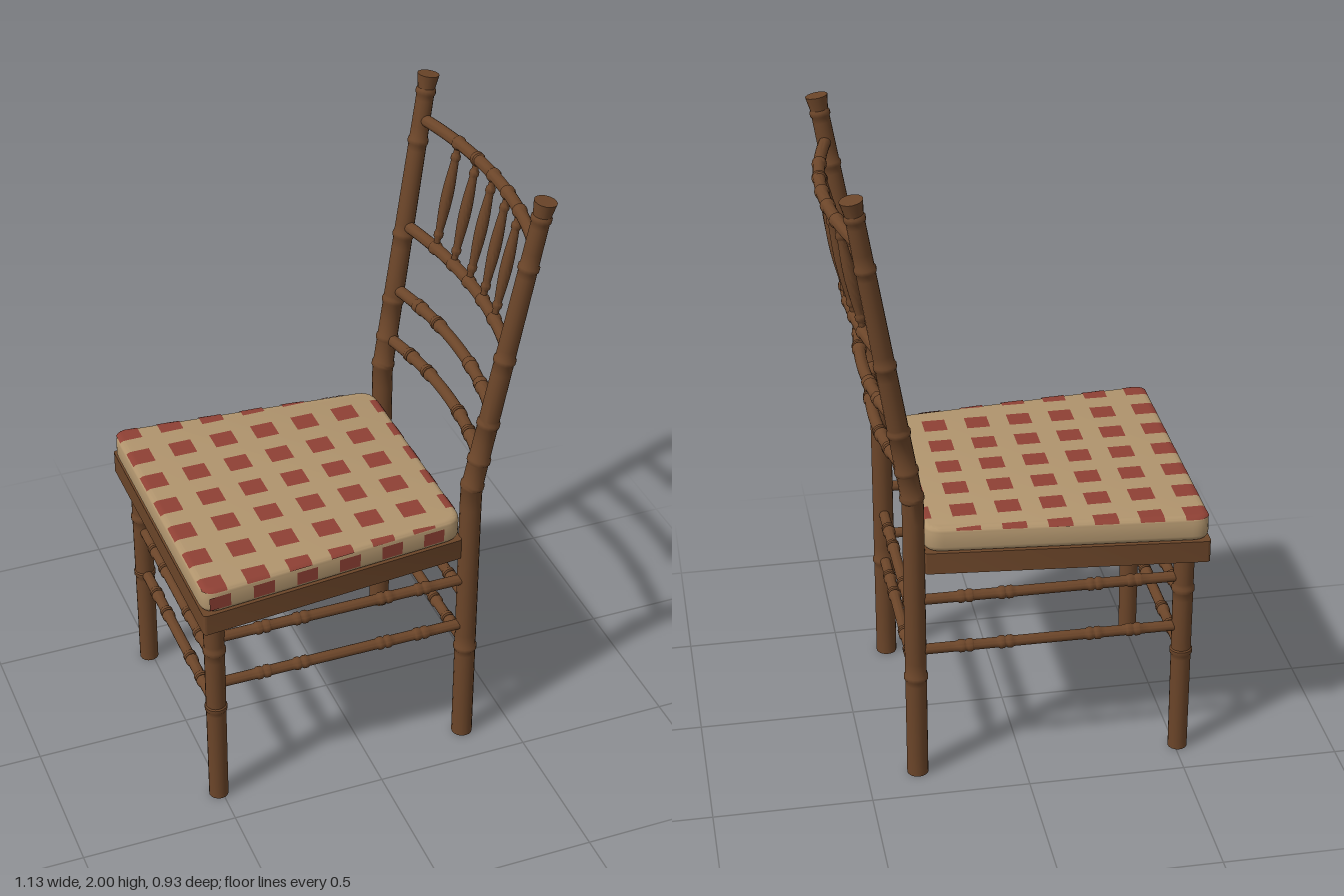
import * as THREE from 'three';
import { toCreasedNormals } from 'three/addons/utils/BufferGeometryUtils.js';

const V = (x, y, z) => new THREE.Vector3(x, y, z);
const FRONT = -0.57, BACK = 0.308, TOP = 0.89, BEVEL = 0.02;

// half width of the tapered seat at a given x
const halfWidth = (x) => {
  const t = (x - FRONT) / (BACK - FRONT);
  return 0.464 - 0.062 * t - 0.016 * t * t;
};

// turned rod: a lathe profile swept along path(t), t in 0..1
function turnedRod(path, radius, rings = [], length = 1) {
  const w = 0.012 / length;
  const ts = [];
  for (let i = 0; i <= 24; i++) ts.push(i / 24);
  for (const r of rings) ts.push(r - w, r - w * 0.5, r + w * 0.5, r + w);
  ts.sort((a, b) => a - b);
  const bump = (t) => (rings.some((r) => Math.abs(t - r) < w * 0.75) ? 0.004 : 0);
  const profile = ts.map((t) => new THREE.Vector2(radius(t) + bump(t), t));
  profile.unshift(new THREE.Vector2(0, 0));
  profile.push(new THREE.Vector2(0, 1));
  const geo = new THREE.LatheGeometry(profile, 16);
  const pos = geo.attributes.position;
  const span = path(1).sub(path(0)).normalize();
  const ref = Math.abs(span.y) > 0.7 ? V(0, 0, 1) : V(0, 1, 0);
  for (let i = 0; i < pos.count; i++) {
    const t = pos.getY(i);
    const tangent = path(Math.min(1, t + 0.01)).sub(path(Math.max(0, t - 0.01))).normalize();
    const u = tangent.clone().cross(ref).normalize();
    const v = u.clone().cross(tangent);
    const p = path(t).addScaledVector(u, pos.getX(i)).addScaledVector(v, pos.getZ(i));
    pos.setXYZ(i, p.x, p.y, p.z);
  }
  return toCreasedNormals(geo, 0.7);
}

// tapered seat outline with rounded corners, extruded downwards from top
function seatSlab(top, height, corner, bevel) {
  const pts = [[FRONT, -0.464], [BACK, -0.386], [BACK, 0.386], [FRONT, 0.464]]
    .map(([x, z]) => new THREE.Vector2(x, z));
  const shape = new THREE.Shape();
  pts.forEach((p, i) => {
    const prev = pts[(i + 3) % 4], next = pts[(i + 1) % 4];
    const a = p.clone().add(prev.clone().sub(p).setLength(corner));
    const b = p.clone().add(next.clone().sub(p).setLength(corner));
    if (i === 0) shape.moveTo(a.x, a.y); else shape.lineTo(a.x, a.y);
    shape.quadraticCurveTo(p.x, p.y, b.x, b.y);
  });
  shape.closePath();
  const geo = new THREE.ExtrudeGeometry(shape, {
    depth: height - 2 * bevel, bevelEnabled: bevel > 0, bevelThickness: bevel,
    bevelSize: bevel, bevelOffset: -bevel, bevelSegments: 5, curveSegments: 8,
  });
  geo.rotateX(Math.PI / 2).translate(0, top - bevel, 0);
  return toCreasedNormals(geo, 0.6);
}

export function createModel() {
  const model = new THREE.Group();
  const material = (name, color) => {
    const m = new THREE.MeshStandardMaterial({ color });
    m.name = name;
    return m;
  };
  const wood = material('brown wood', 0x6b4529);
  const fabric = material('tan fabric', 0xb0946d);
  const red = material('red check', 0x8e4034);
  red.side = THREE.DoubleSide;
  const add = (name, geo, mat = wood) => {
    const mesh = new THREE.Mesh(geo, mat);
    mesh.name = name;
    model.add(mesh);
    return mesh;
  };
  const line = (a, b) => (t) => a.clone().lerp(b, t);

  // back posts: upright to the seat, then leaning back and outwards
  const postAt = (y) => {
    const k = Math.max(0, y - 0.98) / 1.02;
    return V(0.338 + 0.168 * k, y, 0.366 + 0.066 * k);
  };
  const postRadius = (t) => {
    if (t > 0.978) return 0.035;
    return t < 0.5 ? 0.034 : 0.034 - 0.006 * (t - 0.5) / 0.48;
  };
  // front legs
  for (const s of [1, -1]) {
    add('backPost', turnedRod((t) => {
      const p = postAt(t * 1.995);
      p.z *= s;
      return p;
    }, postRadius, [0.18, 0.5, 0.548, 0.615, 0.73, 0.89, 0.972], 2));
    add('frontLeg', turnedRod(line(V(-0.51, 0, 0.368 * s), V(-0.51, 0.74, 0.368 * s)),
      (t) => 0.031 + 0.002 * t, [0.49, 0.8], 0.74));
  }

  // stretchers with paired rings
  const rodRings = [0.17, 0.2, 0.32, 0.35, 0.65, 0.68, 0.8, 0.83];
  for (const s of [1, -1])
    for (const y of [0.635, 0.455])
      add('sideStretcher', turnedRod(line(V(-0.51, y, 0.368 * s), V(0.338, y, 0.368 * s)),
        () => 0.017, rodRings, 0.85));
  for (const x of [-0.51, 0.338])
    for (const y of [0.545, 0.365])
      add('crossStretcher', turnedRod(line(V(x, y, -0.366), V(x, y, 0.366)),
        () => 0.017, rodRings, 0.73));

  // bowed back rails
  const bow = { 1.85: 0.06, 1.49: 0.05, 1.268: 0.05, 1.093: 0.048 };
  const railAt = (y, z) => {
    const p = postAt(y);
    return V(p.x + bow[y] * (1 - (z / p.z) ** 2), y, z);
  };
  const spindleZ = [-0.226, -0.113, 0, 0.113, 0.226];
  for (const y of [1.85, 1.49, 1.268, 1.093]) {
    const half = postAt(y).z;
    const rings = y > 1.4 ? spindleZ.map((z) => 0.5 + z / half / 2) : rodRings;
    add('backRail', turnedRod((t) => railAt(y, (2 * t - 1) * half), () => 0.019, rings, 2 * half));
  }

  // spindles, swelling at the middle
  for (const z of spindleZ)
    add('spindle', turnedRod(line(railAt(1.49, z), railAt(1.85, z)),
      (t) => 0.01 + 0.009 * Math.sin(Math.PI * t) ** 2, [0.13, 0.87], 0.36));

  // seat frame and cushion
  add('seatFrame', seatSlab(0.806, 0.072, 0.015, 0));
  add('cushion', seatSlab(TOP, 0.084, 0.06, BEVEL), fabric);

  // checks on the cushion top, wrapped over its rounded rim
  const rimWidth = (x) => {
    const d = Math.max(0, FRONT + 0.045 - x);
    return halfWidth(x) - (0.045 - Math.sqrt(Math.max(0, 0.045 ** 2 - d * d))) - 0.003;
  };
  for (let i = 0; i < 7; i++)
    for (let j = -3; j <= 3; j++) {
      const x0 = Math.max(FRONT + 0.004, -0.565 + i * 0.14);
      const x1 = Math.min(BACK - 0.004, -0.49 + i * 0.14);
      const zc = j * 0.1415;
      const geo = new THREE.PlaneGeometry(x1 - x0, 0.074, 8, 8).rotateX(-Math.PI / 2);
      geo.translate((x0 + x1) / 2, 0, zc);
      const pos = geo.attributes.position;
      for (let k = 0; k < pos.count; k++) {
        const x = pos.getX(k), w = rimWidth(x);
        const z = THREE.MathUtils.clamp(pos.getZ(k), -w, w);
        const d = Math.min(w + 0.003 - Math.abs(z), x - FRONT, BACK - x, BEVEL);
        const drop = BEVEL - Math.sqrt(BEVEL ** 2 - (BEVEL - d) ** 2);
        pos.setXYZ(k, x, TOP + 0.0015 - drop, z);
      }
      geo.computeVertexNormals();
      if (Math.abs(zc) - 0.037 < rimWidth(x1)) add('topCheck', geo, red);
    }

  // checks on the left side and the back edge of the cushion
  const slope = Math.atan2(0.078, BACK - FRONT);
  for (let i = 0; i < 6; i++) {
    const x = -0.515 + i * 0.144;
    const check = add('sideCheck', new THREE.PlaneGeometry(0.07, 0.046), red);
    check.position.set(x, 0.847, 0.4655 - 0.078 * (x - FRONT) / (BACK - FRONT));
    check.rotation.y = slope;
  }
  for (let j = -2; j <= 2; j++) {
    const check = add('backCheck', new THREE.PlaneGeometry(0.068, 0.04), red);
    check.position.set(BACK + 0.0015, 0.856, j * 0.14);
    check.rotation.y = Math.PI / 2;
  }
  return model;
}
